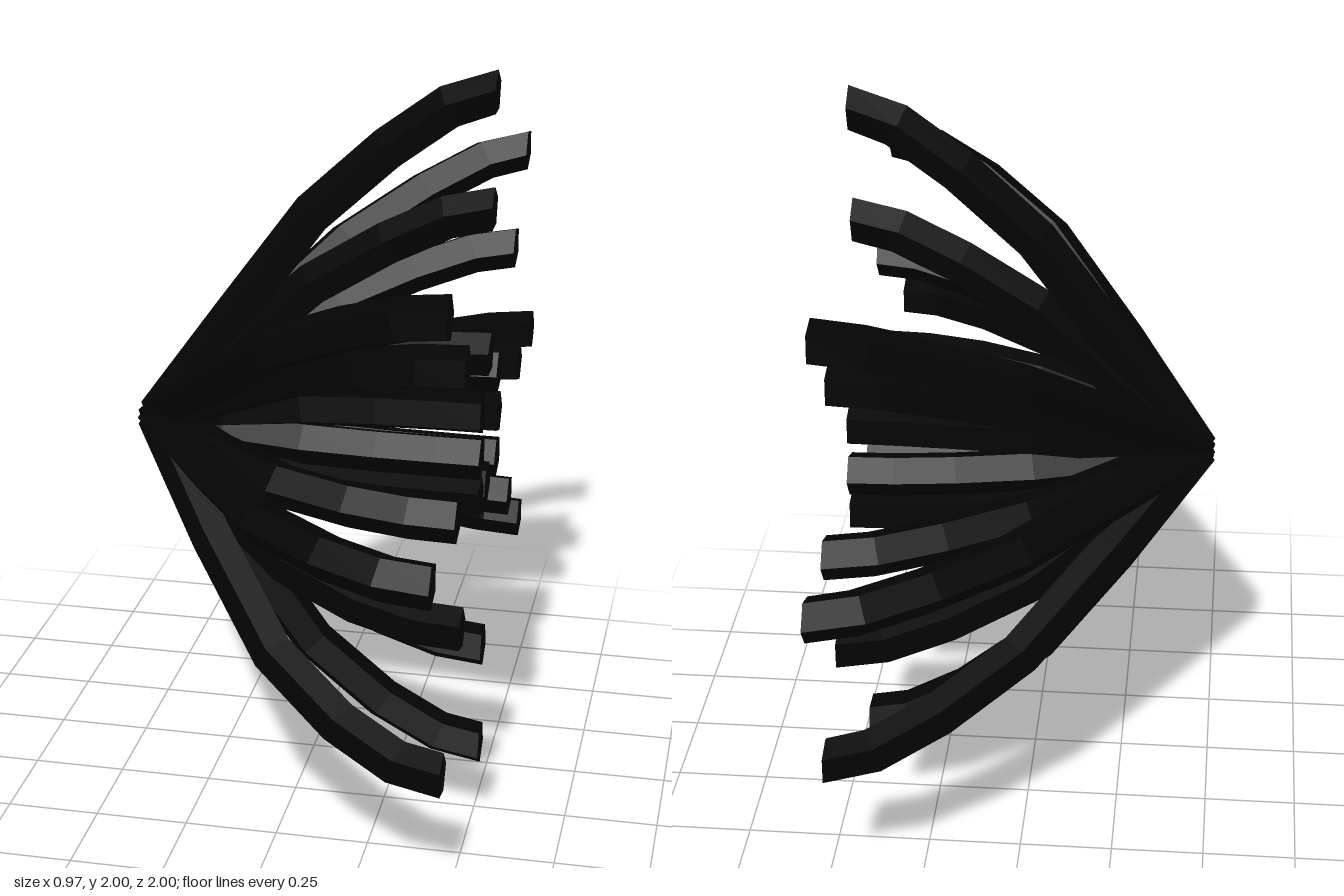
import * as THREE from 'three';

const SIDES = 5, RADIUS = 0.06, HUB_Y = 0.985;

// Bend of one rod: x position and share of the final distance from the axis
const BEND = [[-0.44, 0], [-0.22, 0.32], [0, 0.635], [0.2, 0.83], [0.36, 0.955], [0.48, 1]];

// Rod tips as [z, y]: eight directions in three rings
const TIPS = {
  outerRod: [[0, 1.94], [0.745, 1.575], [0.94, 0.98], [0.715, 0.35],
    [0, 0.063], [-0.765, 0.44], [-0.94, 0.98], [-0.71, 1.61]],
  middleRod: [[0, 1.63], [0.43, 1.34], [0.545, 0.98], [0.425, 0.62],
    [0, 0.37], [-0.5, 0.62], [-0.645, 0.98], [-0.485, 1.385]],
  innerRod: [[0, 1.23], [0.13, 1.11], [0.13, 0.985], [0.13, 0.87],
    [0, 0.86], [-0.19, 0.865], [-0.21, 0.985], [-0.185, 1.12]],
};

// Capped five-sided rod in the x-y plane; a larger bulge makes it level out sooner
function rodGeometry(reach, bulge) {
  const shortness = 1 - THREE.MathUtils.clamp((reach - 0.15) / 0.5, 0, 1);
  const power = 1 + 0.2 * bulge + shortness * (0.3 + 0.6 * bulge);
  const path = BEND.map(([x, f]) => new THREE.Vector2(x, reach * (1 - Math.pow(1 - f, power))));
  const pos = [], index = [], last = path.length - 1;

  // Cross-sections, the last one cut square to the x axis
  path.forEach((p, i) => {
    const t = i === last
      ? new THREE.Vector2(1, 0)
      : path[i + 1].clone().sub(path[Math.max(i - 1, 0)]).normalize();
    for (let j = 0; j < SIDES; j++) {
      const a = j / SIDES * Math.PI * 2;
      const n = Math.cos(a) * RADIUS;
      pos.push(p.x - t.y * n, p.y + t.x * n, Math.sin(a) * RADIUS);
    }
  });

  // Side walls
  for (let i = 0; i < last; i++) {
    for (let j = 0; j < SIDES; j++) {
      const a = i * SIDES + j, b = i * SIDES + (j + 1) % SIDES;
      index.push(a, b, b + SIDES, a, b + SIDES, a + SIDES);
    }
  }

  // End caps
  const e = last * SIDES;
  for (let j = 1; j < SIDES - 1; j++) index.push(0, j + 1, j, e, e + j, e + j + 1);

  const indexed = new THREE.BufferGeometry();
  indexed.setAttribute('position', new THREE.Float32BufferAttribute(pos, 3));
  indexed.setIndex(index);
  const geometry = indexed.toNonIndexed();
  geometry.computeVertexNormals();
  return geometry;
}

export function createModel() {
  const model = new THREE.Group();
  model.name = 'rodFan';
  const black = new THREE.MeshStandardMaterial({ color: 0x040404, flatShading: true });
  for (const [name, tips] of Object.entries(TIPS)) {
    const ring = new THREE.Group();
    ring.name = name + 's';
    for (const [z, y] of tips) {
      const dy = y - HUB_Y, reach = Math.hypot(z, dy);
      // Rods toward the bottom and front bulge more
      const bulge = THREE.MathUtils.clamp(0.5 + 0.5 * (z - dy) / reach, 0, 1);
      const rod = new THREE.Mesh(rodGeometry(reach, bulge), black);
      rod.name = name;
      rod.position.y = HUB_Y;
      rod.rotation.x = Math.atan2(z, dy);
      ring.add(rod);
    }
    model.add(ring);
  }
  return model;
}
